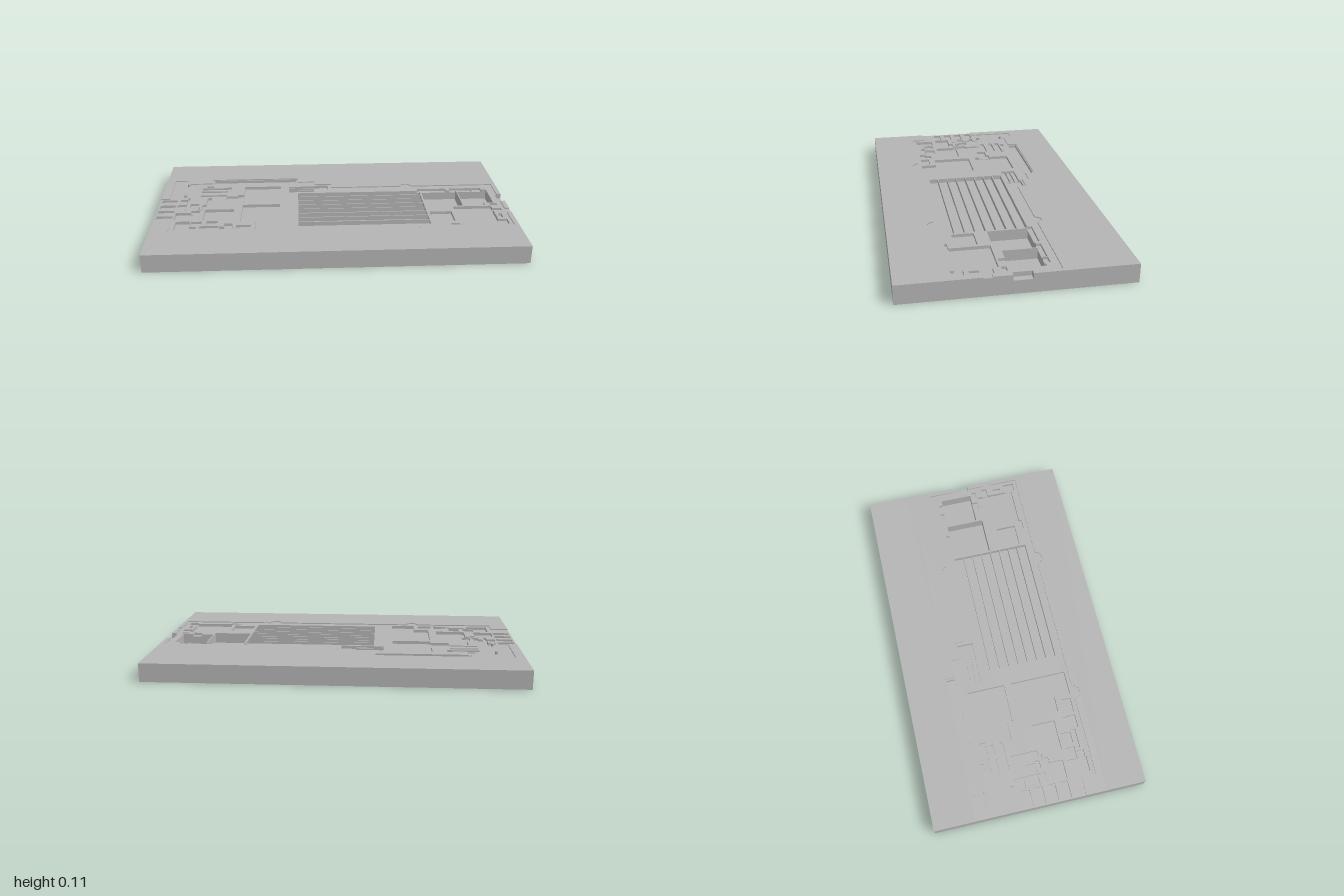
import * as THREE from 'three';

const TOP = 0.1, FLOOR = 0.094;

// Each pocket is a rectangle [x0, x1, z0, z1] cut down to a given height.
const boardRecess = [
  [-0.9, -0.1, -0.3, 0.33], [-0.95, -0.87, -0.35, -0.09], [-1, -0.9, -0.09, 0.25],
  [-0.72, -0.2, -0.355, -0.3], [-0.1, 0, -0.26, 0.33], [0, 0.975, -0.21, 0.33],
  [0.95, 1, -0.065, 0.025], [0.95, 1, 0.125, 0.17],
];
const chipPockets = [
  [-0.52, -0.305, -0.25, -0.04], [-0.52, -0.305, 0, 0.22], [-0.73, -0.565, 0.055, 0.185],
  [-0.435, -0.305, 0.22, 0.31], [0.685, 0.905, 0.08, 0.29], [0.54, 0.665, 0.14, 0.255],
  [-0.89, -0.785, 0.09, 0.175], [-0.875, -0.795, 0.2, 0.305], [-0.105, -0.02, -0.25, -0.16],
  [-0.71, -0.21, -0.35, -0.3],
];
const deepPockets = [[0.535, 0.746, -0.145, 0.07], [0.752, 0.93, -0.145, 0.035]];
const edgeNotch = [[0.965, 1, -0.065, 0.03]];
const leftPartPockets = [
  [-0.555, -0.52, -0.135, -0.07], [-0.62, -0.555, -0.12, -0.07], [-0.775, -0.62, -0.24, -0.215],
  [-0.775, -0.62, -0.195, -0.175], [-0.775, -0.62, -0.14, -0.12], [-0.625, -0.6, -0.25, -0.215],
  [-0.75, -0.71, -0.27, -0.25], [-0.73, -0.705, -0.1, 0.05], [-0.75, -0.73, -0.01, 0.07],
  [-0.845, -0.83, -0.105, 0.065], [-0.885, -0.845, -0.08, -0.055], [-0.89, -0.845, -0.015, 0.025],
  [-0.82, -0.77, -0.025, 0.025], [-0.8, -0.76, 0.025, 0.05], [-0.805, -0.755, 0.065, 0.1],
  [-0.79, -0.73, 0.205, 0.255], [-0.705, -0.645, 0.2, 0.255], [-0.74, -0.635, 0.26, 0.285],
  [-0.63, -0.555, 0.27, 0.305], [-0.54, -0.46, 0.255, 0.305], [-0.605, -0.56, 0.235, 0.27],
  [-0.8, -0.755, 0.265, 0.3],
];
const rightPartPockets = [
  [0.515, 0.685, -0.17, -0.145], [0.71, 0.84, -0.17, -0.145], [0.845, 0.9, -0.17, -0.145],
  [0.635, 0.695, 0.29, 0.305], [0.825, 0.875, 0.035, 0.07], [0.905, 0.945, 0.045, 0.07],
  [0.905, 0.955, 0.11, 0.14], [0.92, 0.94, 0.18, 0.225], [0.905, 0.955, 0.25, 0.31],
];

function collectCuts() {
  const cuts = [];
  const cut = (rects, height) => rects.forEach((r) => cuts.push({ r, height }));
  cut(boardRecess, FLOOR);
  // rounded screw-hole bulges along the recess rim, cut as narrow strips
  for (const [cx, cz] of [[0.45, -0.205], [0.42, 0.33], [-0.43, 0.33]]) {
    for (let i = -3; i <= 3; i++) {
      const half = Math.sqrt(0.035 ** 2 - (i * 0.01) ** 2);
      cut([[cx + i * 0.01 - 0.005, cx + i * 0.01 + 0.005, cz - half, cz + half]], FLOOR);
    }
  }
  cut(leftPartPockets, 0.08);
  cut(rightPartPockets, 0.08);
  cut(chipPockets, 0.077);
  cut(edgeNotch, 0.07);
  cut(deepPockets, 0.035);
  // cooling fin slots, separated by thin walls
  for (let i = 0; i < 8; i++) {
    const z = -0.145 + i * 0.0545;
    cut([[-0.2, 0.525, z, z + 0.05]], 0.07);
  }
  // edge port pockets
  for (let i = 0; i < 4; i++) {
    const z = -0.08 + i * 0.07;
    cut([[-0.99, -0.9, z, z + 0.042]], 0.08);
  }
  // three connector slots
  for (let i = 0; i < 3; i++) {
    const z = -0.24 + i * 0.028;
    cut([[-0.255, -0.105, z, z + 0.023]], 0.08);
  }
  return cuts;
}

// Block whose top is lowered wherever a pocket covers it.
function carvedBlock(x0, x1, z0, z1, cuts) {
  const lines = (ends, k) => [...new Set(
    [...ends, ...cuts.flatMap((c) => [c.r[k], c.r[k + 1]])].map((v) => Math.round(v * 1000) / 1000),
  )].sort((a, b) => a - b);
  const xs = lines([x0, x1], 0), zs = lines([z0, z1], 2);
  const nx = xs.length - 1, nz = zs.length - 1;
  const heights = [];
  for (let i = 0; i < nx; i++) {
    heights.push([]);
    for (let j = 0; j < nz; j++) {
      const x = (xs[i] + xs[i + 1]) / 2, z = (zs[j] + zs[j + 1]) / 2;
      let h = TOP;
      for (const { r, height } of cuts) {
        if (x > r[0] && x < r[1] && z > r[2] && z < r[3]) h = Math.min(h, height);
      }
      heights[i].push(h);
    }
  }
  const heightAt = (i, j) => heights[i]?.[j] ?? 0;
  const pos = [];
  const quad = (a, b, c, d) => pos.push(...a, ...b, ...c, ...a, ...c, ...d);

  // pocket floors and top surface, merged along x
  for (let j = 0; j < nz; j++) {
    for (let i = 0; i < nx;) {
      const h = heightAt(i, j);
      let e = i + 1;
      while (e < nx && heightAt(e, j) === h) e++;
      quad([xs[i], h, zs[j]], [xs[i], h, zs[j + 1]], [xs[e], h, zs[j + 1]], [xs[e], h, zs[j]]);
      i = e;
    }
  }
  // walls facing along x
  for (let i = 0; i <= nx; i++) {
    for (let j = 0; j < nz; j++) {
      const a = heightAt(i - 1, j), b = heightAt(i, j), x = xs[i];
      if (a !== b) quad([x, b, zs[j + 1]], [x, b, zs[j]], [x, a, zs[j]], [x, a, zs[j + 1]]);
    }
  }
  // walls facing along z
  for (let j = 0; j <= nz; j++) {
    for (let i = 0; i < nx; i++) {
      const a = heightAt(i, j - 1), b = heightAt(i, j), z = zs[j];
      if (a !== b) quad([xs[i], b, z], [xs[i + 1], b, z], [xs[i + 1], a, z], [xs[i], a, z]);
    }
  }
  // underside
  quad([x0, 0, z0], [x1, 0, z0], [x1, 0, z1], [x0, 0, z1]);

  const geometry = new THREE.BufferGeometry();
  geometry.setAttribute('position', new THREE.Float32BufferAttribute(pos, 3));
  geometry.computeVertexNormals();
  return geometry;
}

export function createModel() {
  const group = new THREE.Group();
  group.name = 'boardFixture';
  const grey = new THREE.MeshStandardMaterial({ color: 0xb4b4b4 });
  grey.name = 'grey';

  const block = new THREE.Mesh(carvedBlock(-1, 1, -0.58, 0.58, collectCuts()), grey);
  block.name = 'carvedBlock';
  group.add(block);

  // locating pins
  for (const z of [-0.275, -0.12]) {
    const pin = new THREE.Mesh(new THREE.CylinderGeometry(0.009, 0.009, 0.02, 24), grey);
    pin.name = 'locatingPin';
    pin.position.set(-0.86, 0.1, z);
    group.add(pin);
  }
  return group;
}
